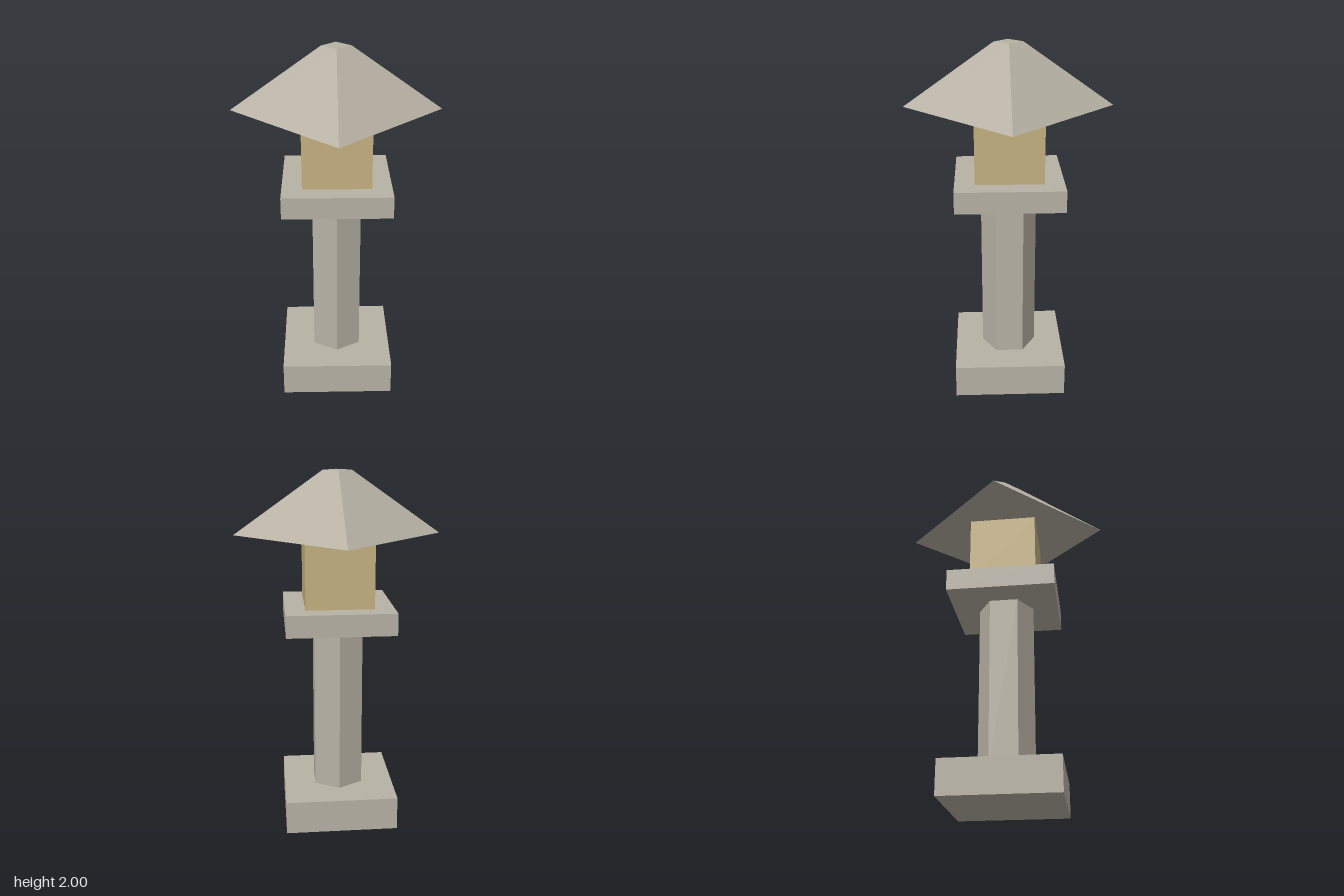
import * as THREE from 'three';

export function createModel() {
  const model = new THREE.Group();
  model.name = 'stoneLantern';

  const stone = new THREE.MeshStandardMaterial({ color: 0xb8b2a5 });
  stone.name = 'stone';
  const glow = new THREE.MeshStandardMaterial({ color: 0xc6b280 });
  glow.name = 'warm lamp';
  stone.flatShading = glow.flatShading = true;

  // Adds a part resting between two heights
  const add = (name, geometry, material, bottom, top) => {
    const mesh = new THREE.Mesh(geometry, material);
    mesh.name = name;
    mesh.position.y = (bottom + top) / 2;
    model.add(mesh);
  };
  const block = (name, width, bottom, top, material) =>
    add(name, new THREE.BoxGeometry(width, top - bottom, width), material, bottom, top);
  const prism = (name, topRadius, bottomRadius, sides, bottom, top) =>
    add(name, new THREE.CylinderGeometry(topRadius, bottomRadius, top - bottom, sides), stone, bottom, top);

  block('base', 0.632, 0, 0.19, stone);
  // Hexagonal post with corners to front and back
  prism('post', 0.157, 0.157, 6, 0.19, 1.147);
  block('platform', 0.6, 1.147, 1.27, stone);
  block('lampBox', 0.378, 1.27, 1.655, glow);
  // Four-sided roof turned with its corners on the axes
  prism('roof', 0.079, 0.57, 4, 1.655, 2);

  return model;
}
